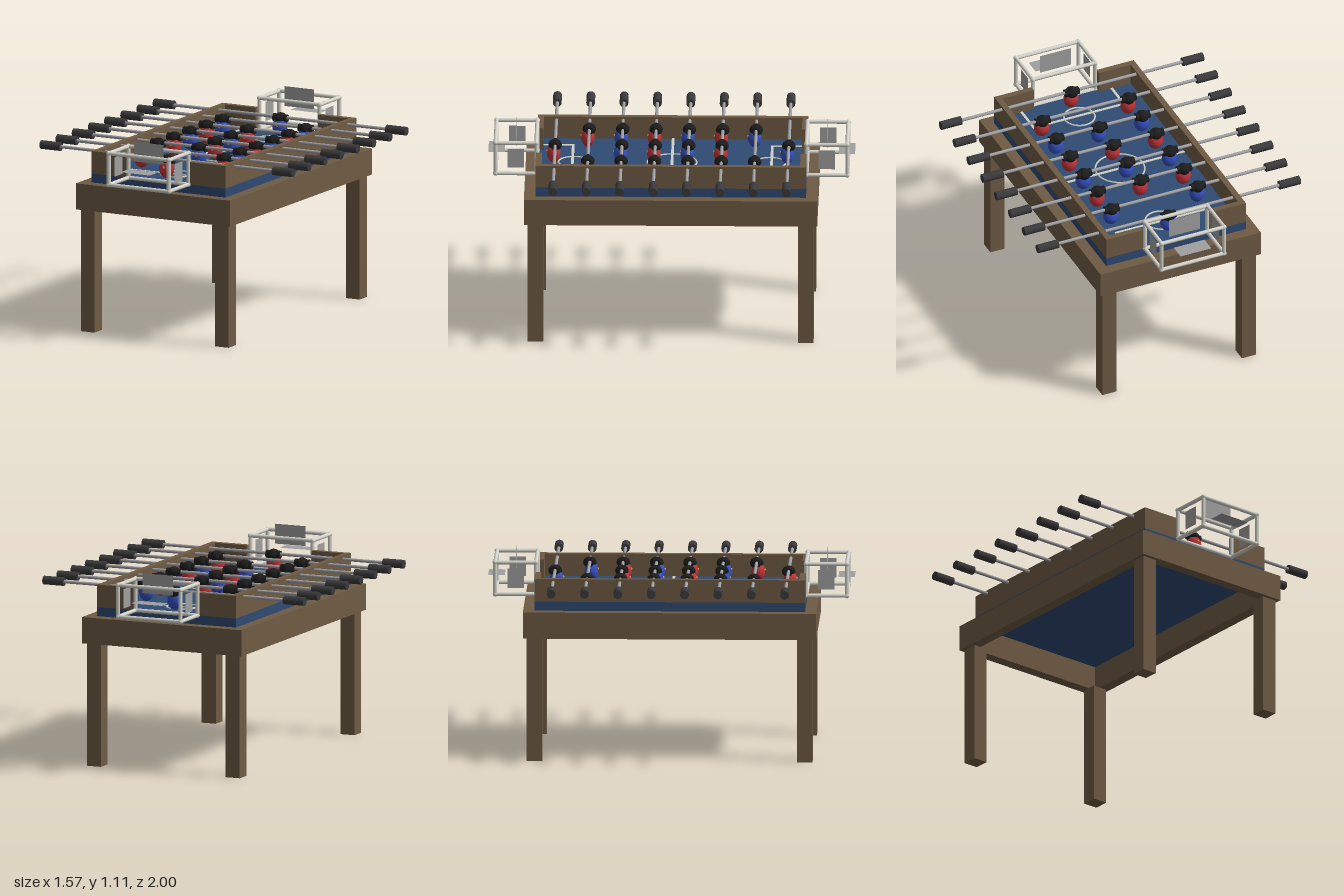
import * as THREE from 'three';

const mat = (color, extra = {}) => new THREE.MeshStandardMaterial({ color, ...extra });

export function createModel() {
  const model = new THREE.Group();
  const wood = mat(0x6f5b44), field = mat(0x2f4a73), line = mat(0xd0d0c4);
  const steel = mat(0xa0a0a4), grip = mat(0x3a3a3c), goalPaint = mat(0xd4d4cc);
  const net = mat(0xa0a0a0, { side: THREE.DoubleSide });
  const hair = mat(0x1c1c1c), badge = mat(0xd0a050);
  const red = mat(0xc23438), blue = mat(0x3550c4);

  const add = (parent, name, geometry, material, x = 0, y = 0, z = 0) => {
    const mesh = new THREE.Mesh(geometry, material);
    mesh.name = name;
    mesh.position.set(x, y, z);
    parent.add(mesh);
    return mesh;
  };
  const group = (name, parent = model) => {
    const g = new THREE.Group();
    g.name = name;
    parent.add(g);
    return g;
  };
  const box = (parent, name, material, w, h, d, x, y, z) =>
    add(parent, name, new THREE.BoxGeometry(w, h, d), material, x, y, z);
  const rodAlongX = (r, length, sides = 16) =>
    new THREE.CylinderGeometry(r, r, length, sides).rotateZ(Math.PI / 2);

  // Table: legs, apron ring and playing field slab
  const table = group('table');
  for (const sx of [-1, 1]) {
    for (const sz of [-1, 1]) box(table, 'leg', wood, 0.085, 0.68, 0.085, sx * 0.418, 0.34, sz * 0.737);
    box(table, 'sideApron', wood, 0.062, 0.145, 1.6, sx * 0.449, 0.7525, 0);
    box(table, 'endApron', wood, 0.836, 0.145, 0.062, 0, 0.7525, sx * 0.769);
  }
  box(table, 'field', field, 0.836, 0.057, 1.476, 0, 0.8465, 0);

  // Walls, with an opening for the goal at each end
  const walls = group('walls');
  for (const s of [-1, 1]) {
    box(walls, 'sideWall', wood, 0.033, 0.125, 1.476, s * 0.4015, 0.9375, 0);
    for (const sx of [-1, 1]) box(walls, 'endWall', wood, 0.19, 0.125, 0.033, sx * 0.29, 0.9375, s * 0.7215);
  }

  // Field markings
  const marks = group('markings');
  const ring = (name, r, z) =>
    add(marks, name, new THREE.TorusGeometry(r, 0.005, 8, 40).rotateX(Math.PI / 2), line, 0, 0.876, z);
  box(marks, 'halfwayLine', line, 0.77, 0.006, 0.015, 0, 0.876, 0);
  ring('centreCircle', 0.135, 0);
  for (const s of [-1, 1]) {
    box(marks, 'penaltyLine', line, 0.555, 0.006, 0.015, 0, 0.876, s * 0.543);
    for (const sx of [-1, 1]) box(marks, 'penaltySide', line, 0.015, 0.006, 0.16, sx * 0.27, 0.876, s * 0.625);
    ring('penaltyCircle', 0.085, s * 0.535);
  }

  // Goals: twelve tubes with ball corners, and small net panels
  const [gx, gy, gz] = [0.187, 0.0875, 0.111];
  for (const s of [-1, 1]) {
    const goal = group('goal');
    goal.position.set(0, 0.9625, s * 0.848);
    for (const a of [-1, 1]) {
      for (const b of [-1, 1]) {
        const tube = (length) => new THREE.CylinderGeometry(0.011, 0.011, length, 12);
        add(goal, 'crossBar', tube(gx * 2).rotateZ(Math.PI / 2), goalPaint, 0, a * gy, b * gz);
        add(goal, 'post', tube(gy * 2), goalPaint, a * gx, 0, b * gz);
        add(goal, 'depthBar', tube(gz * 2).rotateX(Math.PI / 2), goalPaint, a * gx, b * gy, 0);
        for (const c of [-1, 1])
          add(goal, 'cornerBall', new THREE.SphereGeometry(0.014, 12, 8), goalPaint, a * gx, b * gy, c * gz);
      }
      add(goal, 'sideNet', new THREE.PlaneGeometry(0.09, 0.108).rotateY(Math.PI / 2), net, a * gx, 0, 0);
    }
    add(goal, 'topNet', new THREE.PlaneGeometry(0.184, 0.11), net, 0, gy, 0);
    add(goal, 'backNet', new THREE.PlaneGeometry(0.184, 0.09).rotateX(Math.PI / 2), net, 0, 0, s * 0.107);
  }

  // One player, hung on a rod
  const addPlayer = (parent, x, shirt) => {
    const player = group('player', parent);
    player.position.x = x;
    add(player, 'body', new THREE.SphereGeometry(1, 20, 14).scale(0.043, 0.053, 0.037), shirt, 0, -0.053, 0.008);
    add(player, 'head', new THREE.SphereGeometry(1, 16, 12).scale(0.035, 0.032, 0.037), hair, 0, -0.006, 0);
    add(player, 'rodSleeve', rodAlongX(0.022, 0.083), hair, 0, -0.004, 0);
    add(player, 'badge', new THREE.SphereGeometry(0.007, 8, 6), badge, 0, -0.042, 0.043);
  };

  // Rods from back to front, with grips at both ends
  const rows = [[1, blue], [2, blue], [3, red], [3, blue], [3, red], [3, blue], [2, red], [1, red]];
  const places = { 1: [0], 2: [-0.258, 0.258], 3: [-0.258, 0, 0.258] };
  rows.forEach(([count, shirt], i) => {
    const row = group('playerRod');
    row.position.set(0, 0.981, (i - 3.5) * 0.182);
    add(row, 'rod', rodAlongX(0.009, 1.36), steel);
    for (const s of [-1, 1]) add(row, 'grip', rodAlongX(0.024, 0.122), grip, s * 0.724, 0, 0);
    for (const x of places[count]) addPlayer(row, x, shirt);
  });

  return model;
}
